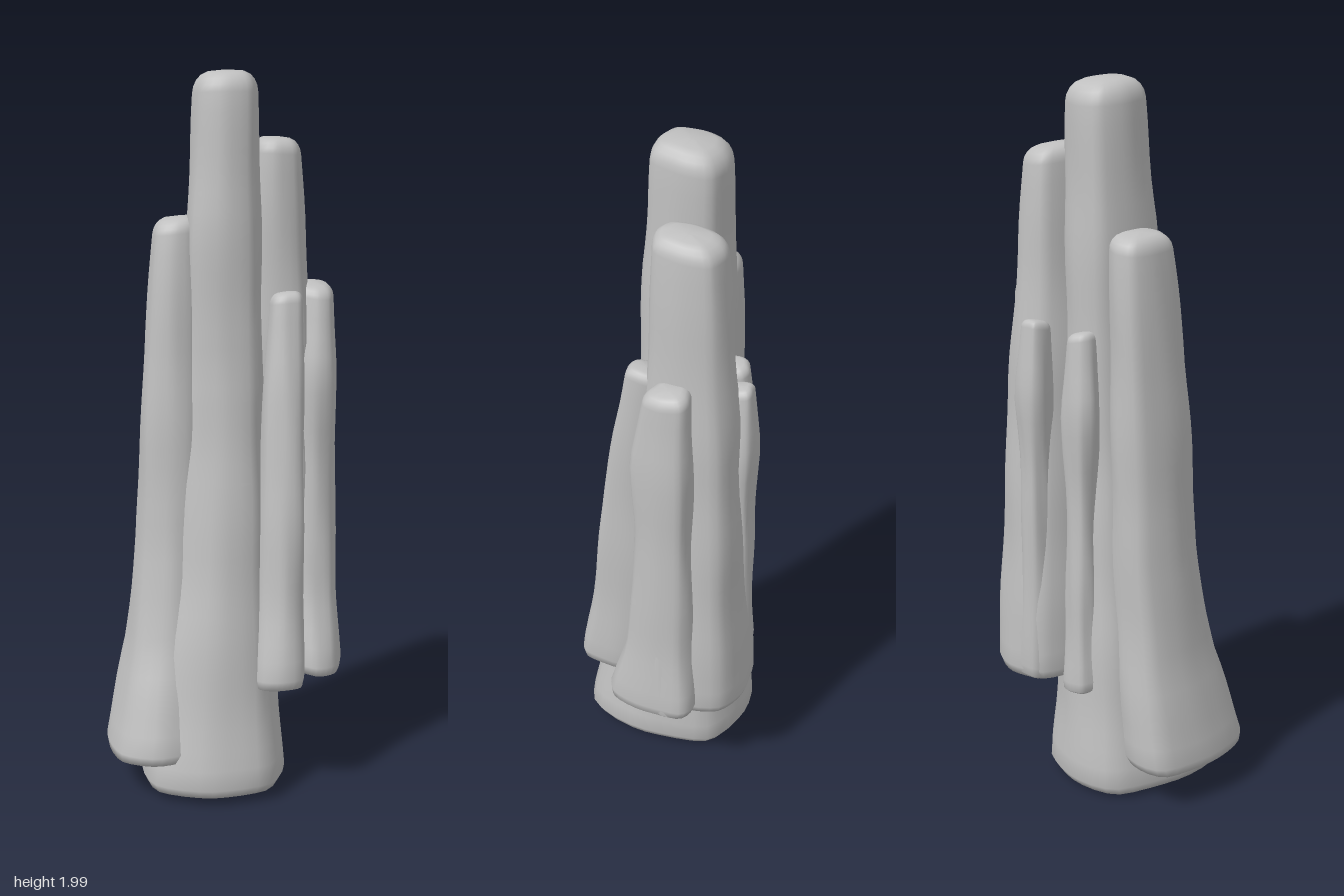
import * as THREE from 'three';

const stone = new THREE.MeshStandardMaterial({ color: 0xc0c0c0 });
stone.name = 'paleStone';

const SEG = 32;

// Rounded, slightly squared outline from a centre and two radii
function outline([cx, cz, rx, rz]) {
  const points = Array.from({ length: 8 }, (_, i) => {
    const a = i * Math.PI / 4, k = i % 2 ? 1.1 : 1;
    return new THREE.Vector3(cx + Math.cos(a) * rx * k, 0, cz + Math.sin(a) * rz * k);
  });
  const curve = new THREE.CatmullRomCurve3(points, true, 'catmullrom', 0.4);
  return Array.from({ length: SEG }, (_, i) => curve.getPoint(i / SEG));
}

// Share of the base outline at t, from evenly spaced values between foot and crown
function flareAt(flare, t) {
  const s = THREE.MathUtils.clamp(t, 0, 1) * (flare.length - 1);
  const i = Math.min(Math.floor(s), flare.length - 2);
  return THREE.MathUtils.lerp(flare[i], flare[i + 1], s - i);
}

// Column lofted from a wide base to a narrow top, with soft weathering.
// skew slants the base outline sideways towards the front
function column(name, y0, y1, base, top, flare, rough = 0.025, skew = 0) {
  const low = outline(base), high = outline(top);
  for (const p of low) p.x += skew * (p.z - base[1]);
  const seed = top[0] * 40;
  const round = Math.min(top[2], top[3]) * 0.7;

  // Rings as [height, scale]: rounded foot, shaft, rounded crown
  const foot = 0.04, steps = Math.round((y1 - y0) / 0.055);
  const rings = [];
  for (let i = 0; i < 4; i++) {
    const a = (i + 0.05) / 4 * Math.PI / 2;
    rings.push([y0 + foot * 0.6 * (1 - Math.cos(a)), Math.sin(a)]);
  }
  for (let i = 0; i <= steps; i++) {
    rings.push([THREE.MathUtils.lerp(y0 + foot, y1 - round, i / steps), 1]);
  }
  for (let i = 1; i <= 5; i++) {
    const a = i / 5.05 * Math.PI / 2;
    rings.push([y1 - round * (1 - Math.sin(a)), Math.sqrt(Math.cos(a))]);
  }

  const pos = [], index = [];
  for (const [y, s] of rings) {
    const f = flareAt(flare, (y - y0) / (y1 - y0));
    const ring = high.map((p, i) => p.clone().lerp(low[i], f));
    const c = ring.reduce((sum, p) => sum.add(p), new THREE.Vector3()).divideScalar(SEG);
    ring.forEach((p, i) => {
      const a = i / SEG * Math.PI * 2;
      const bump = 0.6 * Math.sin(y * 17 + seed * 2)
        + 0.6 * Math.sin(a * 3 + y * 5 + seed) + 0.5 * Math.sin(a * 5 - y * 11 + seed);
      const k = s * (1 + rough * bump);
      const tilt = 0.008 * Math.sin(a + seed) * s;
      pos.push(c.x + (p.x - c.x) * k, y + tilt, c.z + (p.z - c.z) * k);
    });
  }
  for (let j = 0; j < rings.length - 1; j++) {
    for (let i = 0; i < SEG; i++) {
      const a = j * SEG + i, b = j * SEG + (i + 1) % SEG;
      index.push(a, a + SEG, b, b, a + SEG, b + SEG);
    }
  }
  // Close the small openings at both ends
  const last = (rings.length - 1) * SEG;
  for (let i = 1; i < SEG - 1; i++) {
    index.push(0, i, i + 1, last, last + i + 1, last + i);
  }

  const geo = new THREE.BufferGeometry();
  geo.setAttribute('position', new THREE.Float32BufferAttribute(pos, 3));
  geo.setIndex(index);
  geo.computeVertexNormals();
  const mesh = new THREE.Mesh(geo, stone);
  mesh.name = name;
  return mesh;
}

export function createModel() {
  const group = new THREE.Group();
  group.name = 'rockColumns';

  // Three large columns; the main one stands on the ground
  group.add(column('mainColumn', 0.01, 2,
    [-0.035, 0.04, 0.205, 0.247], [0.005, -0.042, 0.085, 0.098], [1, 0.68, 0.4, 0.2, 0.15, 0]));
  group.add(column('rightColumn', 0.105, 1.61,
    [-0.2, 0.07, 0.148, 0.208], [-0.132, -0.035, 0.062, 0.085], [1, 0.58, 0.35, 0.27, 0.16, 0], 0.025, 0.12));
  group.add(column('leftColumn', 0.31, 1.82,
    [0.145, -0.125, 0.145, 0.16], [0.143, -0.095, 0.066, 0.097], [1, 0.8, 0.63, 0.49, 0.22, 0]));

  // Small columns leaning on the left side
  group.add(column('frontSmallColumn', 0.31, 1.41,
    [0.14, 0.115, 0.08, 0.12], [0.17, 0.01, 0.045, 0.055], [1, 0.75, 0.6, 0.45, 0.25, 0], 0.035, 0.15));
  group.add(column('sideSmallColumn', 0.31, 1.42,
    [0.27, -0.04, 0.07, 0.14], [0.255, -0.088, 0.048, 0.06], [1, 0.55, 0.35, 0.3, 0.35, 0], 0.035, -0.08));
  group.add(column('sideStub', 0.315, 0.56,
    [0.308, -0.1, 0.03, 0.045], [0.3, -0.08, 0.02, 0.025], [1, 0], 0.035));

  // Two slender columns at the back
  const slender = [1, 0.6, 0.4, 0.35, 0.8, 0];
  group.add(column('backLeftSmallColumn', 0.31, 1.36,
    [0.09, -0.228, 0.055, 0.048], [0.085, -0.215, 0.034, 0.038], slender, 0.06));
  group.add(column('backRightSmallColumn', 0.3, 1.34,
    [-0.05, -0.17, 0.06, 0.048], [-0.035, -0.152, 0.034, 0.036], slender, 0.06));
  return group;
}
